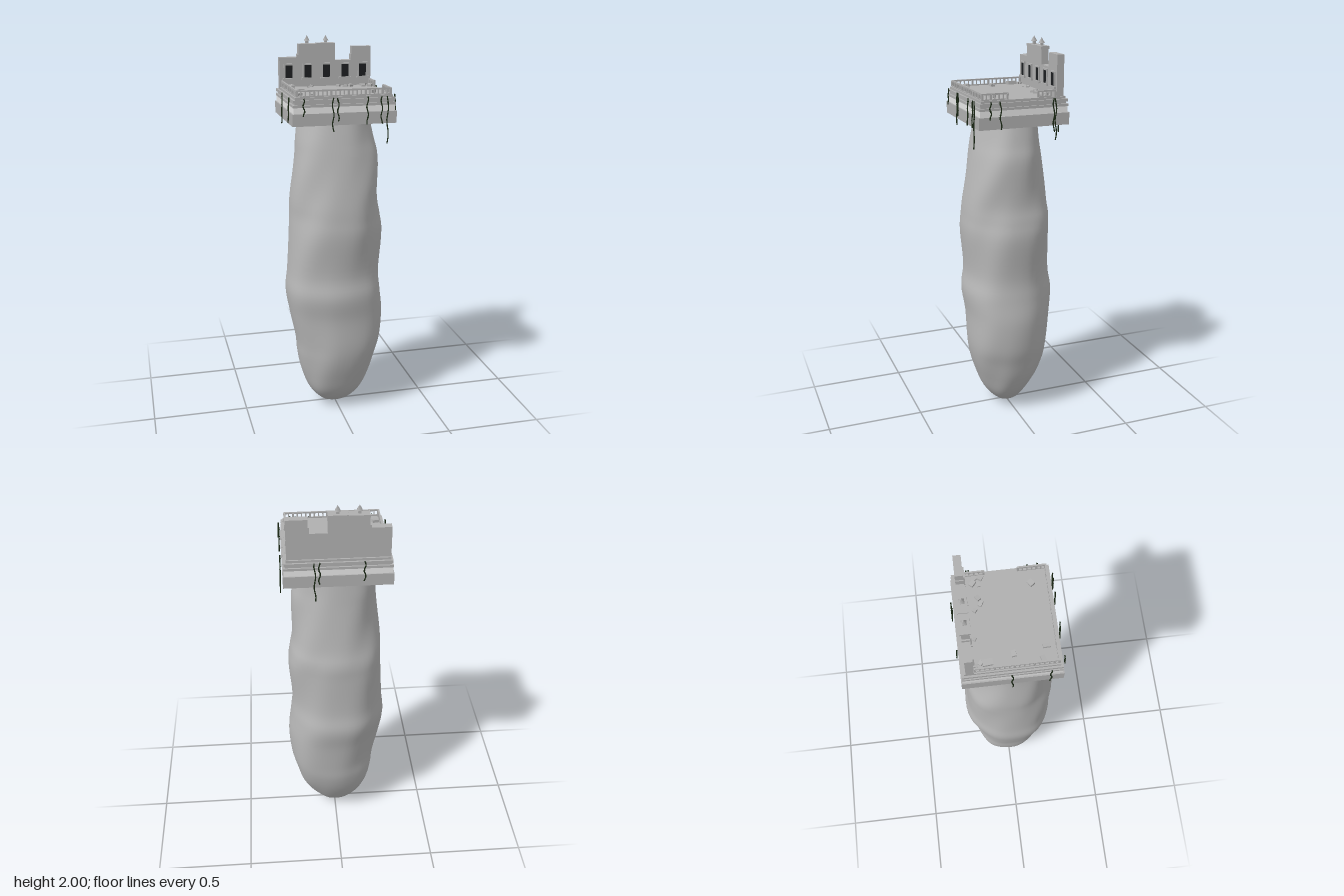
import * as THREE from 'three';
import { mergeVertices } from 'three/addons/utils/BufferGeometryUtils.js';

const mat = (name, color, side = THREE.FrontSide) => {
  const m = new THREE.MeshStandardMaterial({ color, side });
  m.name = name;
  return m;
};

export function createModel() {
  const rockMat = mat('rock', 0xb8b8b8, THREE.DoubleSide);
  const stone = mat('stone', 0xb0b0b0);
  const pale = mat('pale plaster', 0xf0f0f0);
  const dark = mat('dark opening', 0x1c1e20);
  const vineMat = mat('vine', 0x1c2a16);

  const root = new THREE.Group();
  root.name = 'ruinOnRock';
  const group = (name) => {
    const g = new THREE.Group();
    g.name = name;
    root.add(g);
    return g;
  };
  const add = (parent, name, geo, material) => {
    const m = new THREE.Mesh(geo, material);
    m.name = name;
    parent.add(m);
    return m;
  };
  // box given by its limits on each axis
  const box = (parent, name, x0, x1, y0, y1, z0, z1, material = stone) => {
    const m = add(parent, name, new THREE.BoxGeometry(x1 - x0, y1 - y0, z1 - z0), material);
    m.position.set((x0 + x1) / 2, (y0 + y1) / 2, (z0 + z1) / 2);
    return m;
  };

  // floating rock: height, right edge, left edge, back edge, front edge
  const rows = [
    [0, -0.005, 0.005, -0.005, 0.005], [0.03, -0.08, 0.075, -0.06, 0.07],
    [0.1, -0.145, 0.14, -0.11, 0.13], [0.2, -0.185, 0.19, -0.16, 0.17],
    [0.3, -0.205, 0.22, -0.19, 0.2], [0.4, -0.215, 0.245, -0.2, 0.215],
    [0.55, -0.245, 0.255, -0.215, 0.22], [0.68, -0.265, 0.24, -0.235, 0.235],
    [0.8, -0.255, 0.23, -0.22, 0.22], [1.0, -0.245, 0.245, -0.22, 0.235],
    [1.1, -0.24, 0.235, -0.22, 0.23], [1.2, -0.235, 0.22, -0.2, 0.22],
    [1.4, -0.212, 0.22, -0.175, 0.19], [1.5, -0.205, 0.2, -0.165, 0.172],
    [1.61, -0.19, 0.178, -0.155, 0.15],
  ];
  const xCurve = new THREE.CatmullRomCurve3(rows.map((r) => new THREE.Vector3(r[0], r[1], r[2])), false, 'catmullrom');
  const zCurve = new THREE.CatmullRomCurve3(rows.map((r) => new THREE.Vector3(r[0], r[3], r[4])), false, 'catmullrom');
  let rockGeo = new THREE.CylinderGeometry(1, 1, 1, 48, 70, true);
  const p = rockGeo.attributes.position;
  const power = (v) => Math.sign(v) * Math.pow(Math.abs(v), 0.9);
  for (let i = 0; i < p.count; i++) {
    const t = THREE.MathUtils.clamp(p.getY(i) + 0.5, 0, 1);
    const a = xCurve.getPoint(t), b = zCurve.getPoint(t);
    const c = p.getX(i), s = p.getZ(i), y = a.x;
    const angle = Math.atan2(s, c);
    // shallow bumps that fade at the four outermost lines
    const bump = 1 + 0.035 * Math.sin(2 * angle) ** 2 * Math.sin(3 * angle + 9 * y + Math.sin(5 * y));
    p.setXYZ(i,
      (a.y + a.z) / 2 + (a.z - a.y) / 2 * power(c) * bump,
      Math.max(0, y),
      (b.y + b.z) / 2 + (b.z - b.y) / 2 * power(s) * bump);
  }
  rockGeo.deleteAttribute('normal');
  rockGeo.deleteAttribute('uv');
  rockGeo = mergeVertices(rockGeo, 1e-5);
  rockGeo.computeVertexNormals();
  add(root, 'rock', rockGeo, rockMat);

  // platform, stepped cornice and roof floor
  const base = group('platform');
  const tiers = [
    ['foundationSlab', 1.6, 1.66, 0, stone], ['paleWall', 1.66, 1.69, 0.007, pale],
    ['lowerCornice', 1.69, 1.702, 0.004, stone], ['corniceNeck', 1.702, 1.712, 0.013, stone],
    ['upperCornice', 1.712, 1.726, 0.006, stone], ['roofDeck', 1.726, 1.738, 0.016, stone],
  ];
  for (const [name, y0, y1, inset, m] of tiers)
    box(base, name, -0.265 + inset, 0.26 - inset, y0, y1, -0.237 + inset, 0.233 - inset, m);

  // balustrade with posts, broken open on the left side
  const balustrade = group('balustrade');
  const railRun = (x0, z0, x1, z1) => {
    const hw = 0.004;
    const bar = (y0, y1) => box(balustrade, 'rail',
      Math.min(x0, x1) - hw, Math.max(x0, x1) + hw, y0, y1, Math.min(z0, z1) - hw, Math.max(z0, z1) + hw);
    bar(1.738, 1.744);
    bar(1.764, 1.772);
    const n = Math.max(2, Math.round(Math.hypot(x1 - x0, z1 - z0) / 0.022));
    for (let i = 0; i <= n; i++) {
      const x = x0 + (x1 - x0) * i / n, z = z0 + (z1 - z0) * i / n;
      const w = i % 4 === 0 || i === n ? 0.005 : 0.003;
      box(balustrade, 'baluster', x - w, x + w, 1.742, 1.766, z - w, z + w);
    }
  };
  railRun(-0.238, 0.208, 0.235, 0.208);
  railRun(-0.238, -0.17, -0.238, 0.208);
  railRun(0.235, -0.17, 0.235, -0.08);
  railRun(0.235, 0.08, 0.235, 0.208);

  // ruined facade in one stepped outline
  const facade = group('facade');
  const outline = new THREE.Shape([
    [-0.25, 1.73], [0.24, 1.73], [0.24, 1.94], [0.137, 1.94], [0.137, 1.9], [0.132, 1.9], [0.132, 1.87],
    [0.046, 1.87], [0.046, 1.95], [-0.148, 1.95], [-0.148, 1.905], [-0.155, 1.905], [-0.155, 1.89], [-0.25, 1.89],
  ].map(([x, y]) => new THREE.Vector2(x, y)));
  const wall = add(facade, 'facadeWall', new THREE.ExtrudeGeometry(outline, { depth: 0.037, bevelEnabled: false }), stone);
  wall.position.z = -0.213;
  box(facade, 'centreCap', -0.148, -0.051, 1.945, 1.957, -0.219, -0.171);
  box(facade, 'centreCap', -0.05, 0.046, 1.945, 1.96, -0.219, -0.171);

  // framed windows with sills
  for (const x of [-0.2, -0.1, 0, 0.1, 0.195]) {
    box(facade, 'windowPane', x - 0.02, x + 0.02, 1.785, 1.85, -0.177, -0.173, dark);
    for (const s of [-1, 1]) box(facade, 'windowJamb', x + s * 0.023 - 0.004, x + s * 0.023 + 0.004, 1.782, 1.858, -0.177, -0.169);
    box(facade, 'windowLintel', x - 0.027, x + 0.027, 1.85, 1.858, -0.177, -0.169);
    box(facade, 'windowSill', x - 0.034, x + 0.034, 1.774, 1.784, -0.177, -0.166);
  }

  // pointed finials
  for (const x of [-0.1, 0]) {
    box(facade, 'finialShaft', x - 0.007, x + 0.007, 1.955, 1.974, -0.202, -0.188);
    const tip = add(facade, 'finialTip', new THREE.ConeGeometry(0.0175, 0.028, 4).rotateY(Math.PI / 4), stone);
    tip.position.set(x, 1.986, -0.195);
  }

  // fallen blocks: x, z, width, depth, turn
  const rubble = group('rubble');
  [[-0.205, -0.11, 0.03, 0.048, 0.08], [-0.215, -0.162, 0.02, 0.013, 0.3], [-0.202, -0.14, 0.024, 0.018, -0.6],
    [-0.085, -0.156, 0.018, 0.015, -0.6], [-0.106, -0.138, 0.012, 0.008, -0.2], [0.055, -0.14, 0.02, 0.018, -0.7],
    [0.085, -0.11, 0.026, 0.018, -0.45], [0.115, -0.12, 0.026, 0.02, 0.6], [0.19, -0.137, 0.03, 0.022, -0.7],
    [0.183, -0.109, 0.022, 0.013, 0.1], [0.215, -0.1, 0.022, 0.026, -0.6], [0.212, -0.126, 0.014, 0.02, 0.5],
    [-0.175, 0.011, 0.029, 0.022, 0.1], [-0.215, 0.14, 0.033, 0.022, 0.3], [-0.153, 0.162, 0.02, 0.034, 0.05],
    [0.162, 0.131, 0.03, 0.024, 0.6],
  ].forEach(([x, z, w, d, turn], i) => {
    const h = 0.6 * Math.min(w, d);
    const b = add(rubble, 'rubbleBlock', new THREE.BoxGeometry(w, h, d), stone);
    b.position.set(x, 1.738 + h * 0.5, z);
    b.rotation.set(0.12 * Math.sin(i * 2), turn, 0.12 * Math.cos(i * 3));
  });

  // hanging vines: x, z, lowest height
  const vines = group('vines');
  [[-0.21, 0.238, 1.65], [-0.065, 0.238, 1.57], [-0.04, 0.24, 1.62], [0.108, 0.238, 1.6], [0.18, 0.238, 1.6],
    [0.21, 0.24, 1.5], [0.264, 0.125, 1.6], [0.266, 0.178, 1.65], [0.267, -0.15, 1.57], [0.268, -0.16, 1.53],
    [-0.27, -0.005, 1.58], [-0.27, 0.17, 1.61], [-0.125, -0.241, 1.63], [0.088, -0.241, 1.62], [0.11, -0.244, 1.53],
  ].forEach(([x, z, low], k) => {
    const onSide = Math.abs(x) > 0.255;
    const pts = [];
    for (let i = 0; i <= 8; i++) {
      const t = i / 8, drift = 0.004 * Math.sin(k * 2.3 + i * 1.4);
      const out = 0.004 * t;
      pts.push(new THREE.Vector3(
        x + (onSide ? Math.sign(x) * out : drift), 1.735 + (low - 1.735) * t,
        z + (onSide ? drift : Math.sign(z) * out)));
    }
    add(vines, 'vine', new THREE.TubeGeometry(new THREE.CatmullRomCurve3(pts), 20, 0.0032, 5), vineMat);
    // small leaves along the stem
    for (const i of [1, 3, 4, 6]) {
      const leaf = add(vines, 'vineLeaf', new THREE.OctahedronGeometry(0.005), vineMat);
      leaf.scale.set(1, 1.6, 0.7);
      leaf.position.copy(pts[i]);
      leaf.rotation.y = k + i;
    }
  });
  return root;
}
